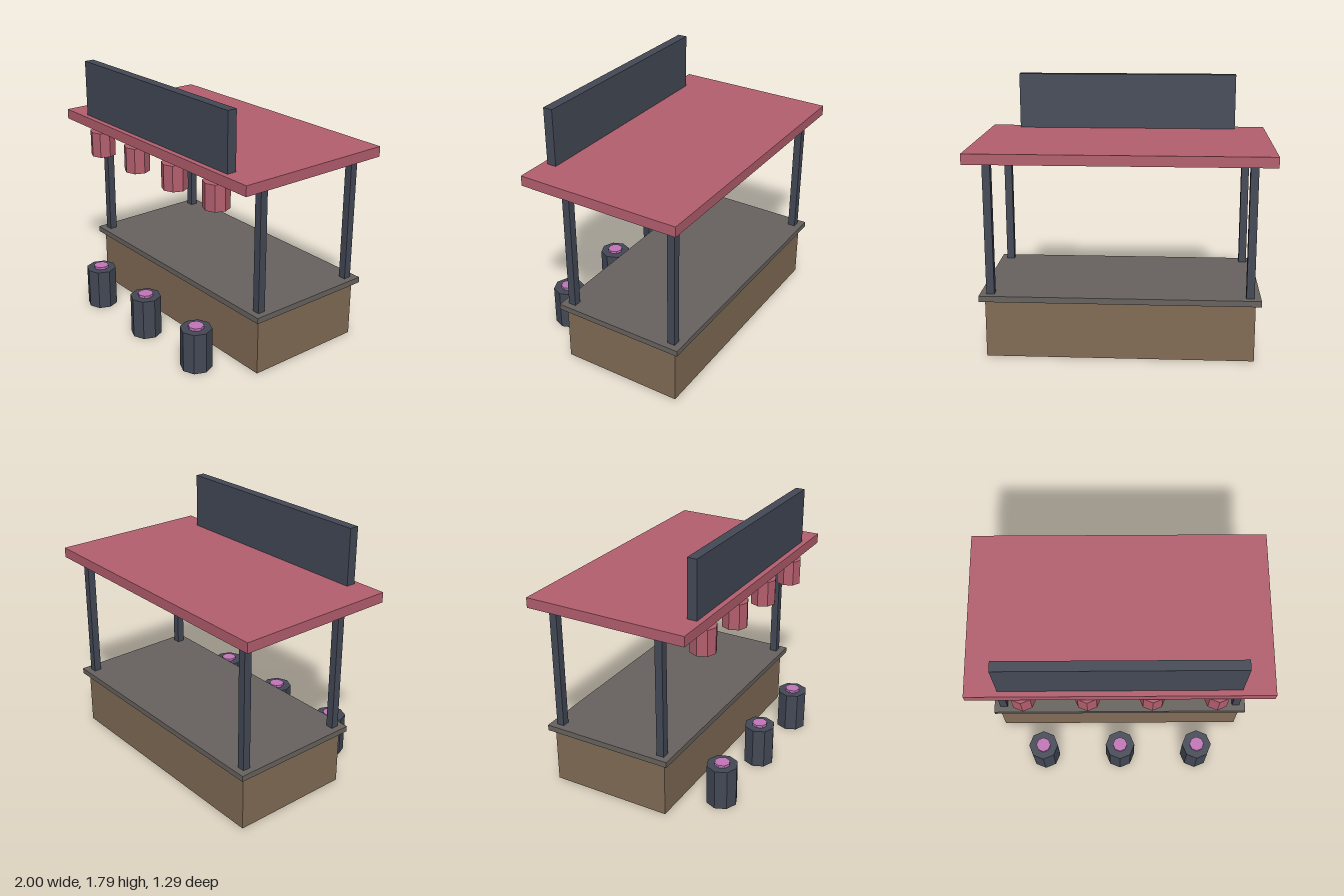
import * as THREE from 'three';

const mat = (name, color) => {
  const m = new THREE.MeshStandardMaterial({ color });
  m.name = name;
  m.flatShading = true;
  return m;
};

export function createModel() {
  const group = new THREE.Group();
  const red = mat('red', 0xb45f6e);
  const slate = mat('slate', 0x434956);
  const wood = mat('wood', 0x826c56);
  const stone = mat('stone', 0x68635f);
  const pink = mat('pink', 0xc276b8);

  const add = (name, geometry, material, x, y, z) => {
    const mesh = new THREE.Mesh(geometry, material);
    mesh.name = name;
    mesh.position.set(x, y, z);
    group.add(mesh);
  };
  // Parts are placed by the height of their underside
  const box = (name, material, w, h, d, x, y, z) =>
    add(name, new THREE.BoxGeometry(w, h, d), material, x, y + h / 2, z);
  const drum = (name, material, r, h, x, y, z) =>
    add(name, new THREE.CylinderGeometry(r, r, h, 8), material, x, y + h / 2, z);

  // Counter and worktop
  box('counter', wood, 1.786, 0.395, 0.858, 0, 0, -0.143);
  box('worktop', stone, 1.857, 0.04, 0.93, 0, 0.395, -0.143);

  // Four posts carrying the roof
  for (const x of [-0.858, 0.858])
    for (const z of [0.251, -0.536]) box('post', slate, 0.053, 0.89, 0.053, x, 0.435, z);

  // Flat roof with a sign board near the front edge
  box('roof', red, 2, 0.07, 1.143, 0, 1.325, -0.0715);
  box('signBoard', slate, 1.57, 0.393, 0.067, 0, 1.395, 0.429);

  // Lanterns under the front edge
  for (let i = 0; i < 4; i++) drum('lantern', red, 0.0885, 0.178, (i - 1.5) * 0.4286, 1.13, 0.43);

  // Stools with small round pads
  for (const x of [-0.571, 0, 0.571]) {
    drum('stool', slate, 0.107, 0.288, x, 0, 0.537);
    drum('stoolPad', pink, 0.053, 0.018, x, 0.288, 0.537);
  }
  return group;
}
